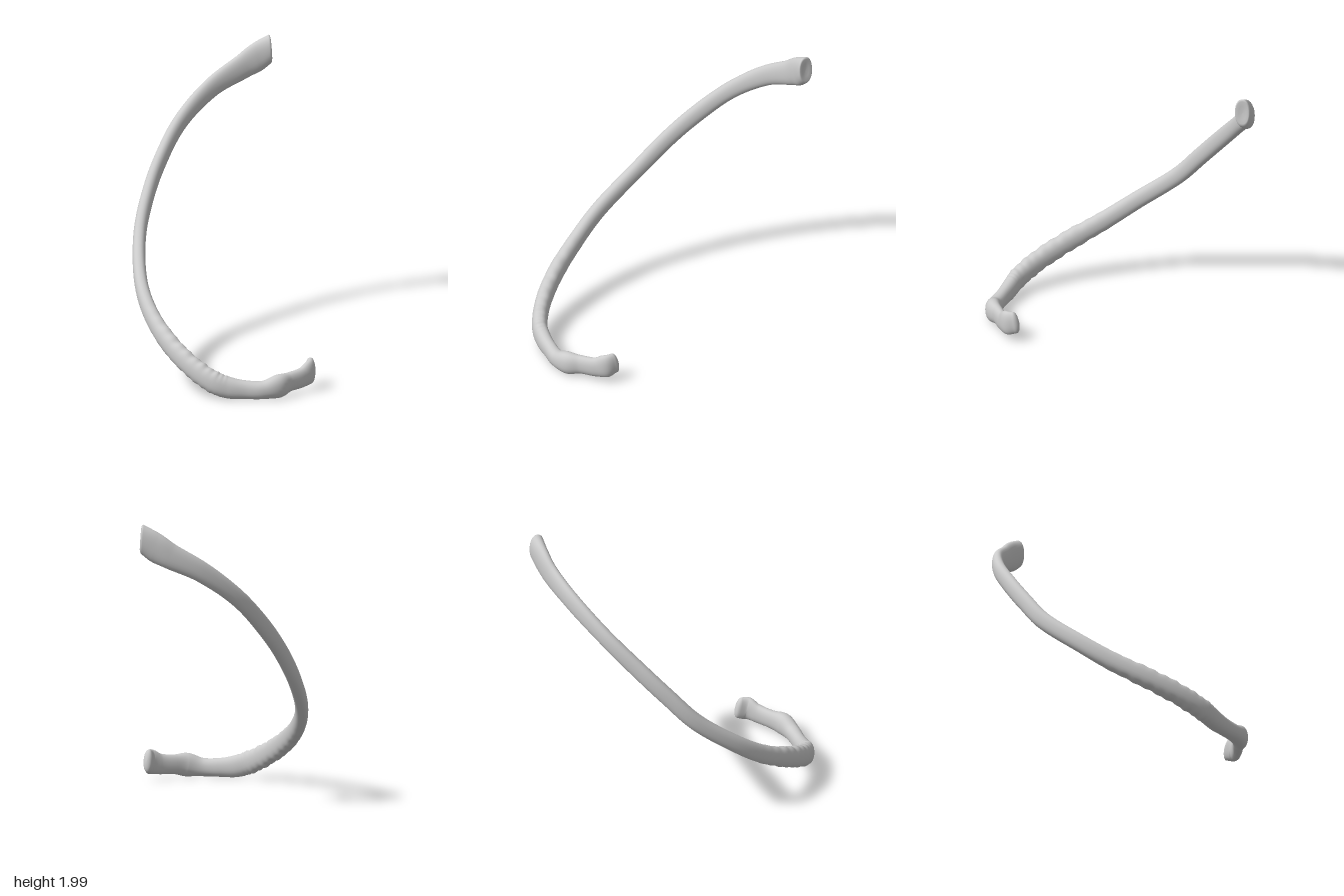
import * as THREE from 'three';

// Stations along the bone, back head to front tip:
// centre x, y, z, half height, half thickness, lean of the section (1 = square to the path)
const STATIONS = [
  [0.172, 1.9, -0.915, 0.1, 0.053, 0.15],
  [0.09, 1.848, -0.895, 0.1, 0.044, 0.6],
  [0, 1.79, -0.865, 0.087, 0.039, 1],
  [-0.2, 1.67, -0.758, 0.07, 0.038, 1],
  [-0.395, 1.475, -0.575, 0.059, 0.04, 1],
  [-0.515, 1.25, -0.365, 0.059, 0.041, 1],
  [-0.577, 1.06, -0.19, 0.058, 0.042, 1],
  [-0.608, 0.853, 0, 0.057, 0.043, 1],
  [-0.567, 0.605, 0.3, 0.059, 0.044, 1],
  [-0.475, 0.445, 0.5, 0.064, 0.047, 1],
  [-0.325, 0.305, 0.7, 0.071, 0.052, 1],
  [-0.16, 0.195, 0.84, 0.074, 0.052, 1],
  [-0.01, 0.117, 0.908, 0.077, 0.052, 1],
  [0.09, 0.084, 0.913, 0.074, 0.05, 1],
  [0.2, 0.072, 0.907, 0.064, 0.046, 1],
  [0.32, 0.07, 0.895, 0.062, 0.05, 1],
  [0.42, 0.088, 0.855, 0.08, 0.055, 1],
  [0.485, 0.098, 0.785, 0.067, 0.04, 1],
  [0.565, 0.108, 0.705, 0.07, 0.036, 1],
  [0.609, 0.13, 0.645, 0.084, 0.036, 1],
  [0.608, 0.143, 0.59, 0.077, 0.031, 1],
];
const SIDES = 28, STEPS = 360;

function createShaft() {
  const path = new THREE.CatmullRomCurve3(STATIONS.map(s => new THREE.Vector3(s[0], s[1], s[2])));
  const size = new THREE.CatmullRomCurve3(STATIONS.map(s => new THREE.Vector3(s[3], s[4], s[5])), false, 'catmullrom', 0.4);
  const positions = [], index = [];
  let rings = 0;

  // slightly squared ellipse
  const soften = v => Math.sign(v) * Math.abs(v) ** 0.9;

  // One ring at t, pushed along the path by shift and scaled
  const ring = (t, shift, scale) => {
    const s = size.getPoint(t), tangent = path.getTangent(t);
    const centre = path.getPoint(t).addScaledVector(tangent, shift);
    const up = new THREE.Vector3(0, 1, 0);
    const side = new THREE.Vector3().crossVectors(tangent, up).normalize();
    up.addScaledVector(tangent, -tangent.y * s.z).normalize();
    // small ripples along the lower front part
    const rough = THREE.MathUtils.smoothstep(t, 0.42, 0.5) * (1 - THREE.MathUtils.smoothstep(t, 0.57, 0.66));
    for (let i = 0; i < SIDES; i++) {
      const a = (i / SIDES) * Math.PI * 2;
      const wave = 1 + rough * (0.05 * Math.sin(t * 380) + 0.03 * Math.sin(t * 170)) * Math.abs(Math.sin(a + 0.3));
      const p = centre.clone()
        .addScaledVector(side, soften(Math.cos(a)) * s.y * scale)
        .addScaledVector(up, soften(Math.sin(a)) * s.x * scale * wave);
      positions.push(p.x, Math.max(p.y, 0), p.z);
    }
    rings++;
  };

  // dished back head with a rounded rim
  ring(0, -0.004, 0.001);
  ring(0, -0.006, 0.5);
  ring(0, -0.012, 0.82);
  ring(0, -0.008, 0.94);
  for (let i = 0; i <= STEPS; i++) ring(i / STEPS, 0, 1);
  // rounded front tip
  for (let i = 1; i <= 6; i++) {
    const a = (i / 6) * Math.PI / 2;
    ring(1, 0.028 * Math.sin(a), Math.max(Math.cos(a), 0.001));
  }

  for (let r = 0; r < rings - 1; r++) {
    for (let i = 0; i < SIDES; i++) {
      const j = (i + 1) % SIDES;
      const a = r * SIDES + i, b = r * SIDES + j, c = a + SIDES, d = b + SIDES;
      index.push(a, c, b, b, c, d);
    }
  }
  const geometry = new THREE.BufferGeometry();
  geometry.setAttribute('position', new THREE.Float32BufferAttribute(positions, 3));
  geometry.setIndex(index);
  geometry.computeVertexNormals();
  return geometry;
}

export function createModel() {
  const group = new THREE.Group();
  group.name = 'ribBone';
  const material = new THREE.MeshStandardMaterial({ color: 0xcccccc, roughness: 0.8 });
  const shaft = new THREE.Mesh(createShaft(), material);
  shaft.name = 'ribShaft';
  group.add(shaft);
  return group;
}
